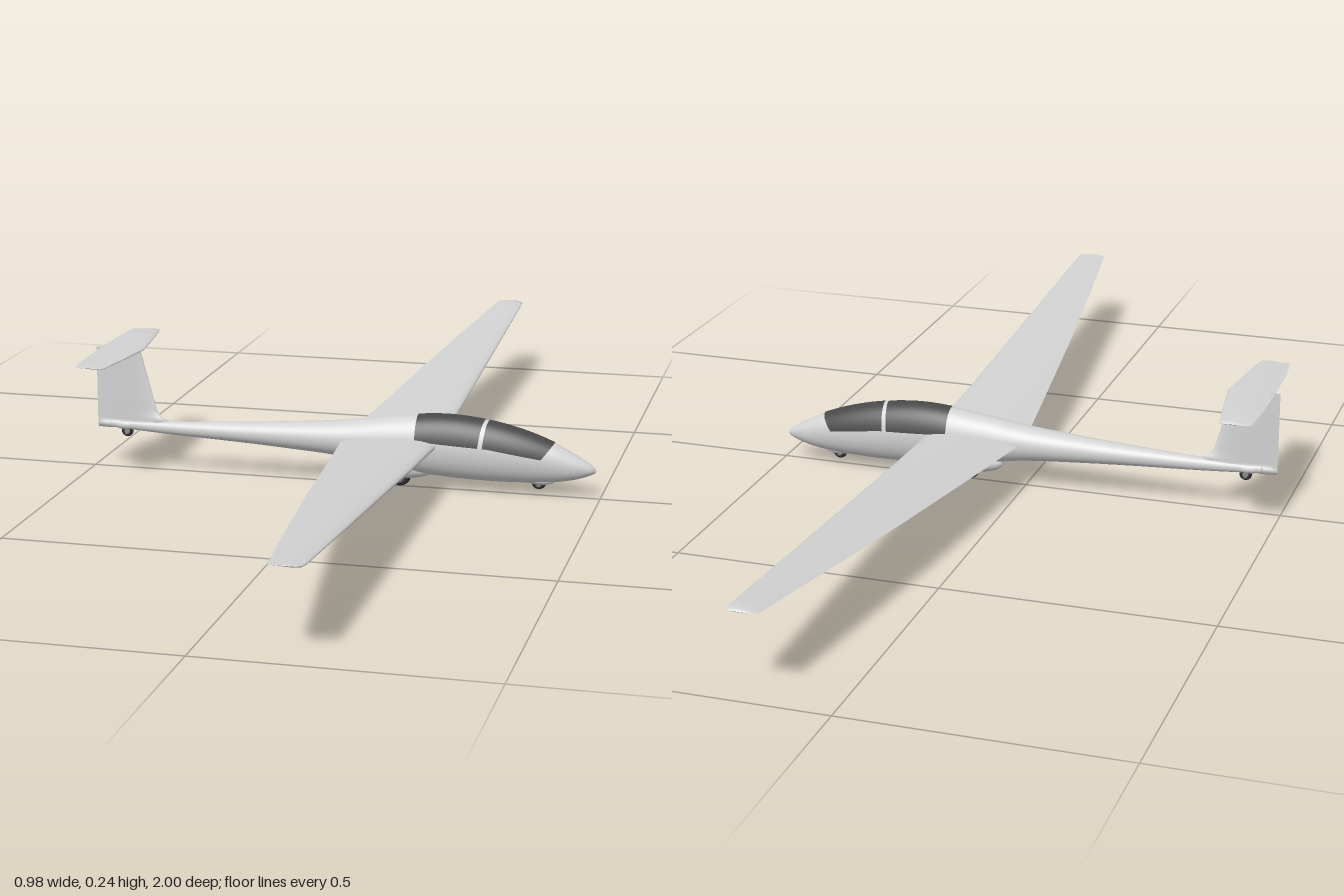
import * as THREE from 'three';
import { ParametricGeometry } from 'three/addons/geometries/ParametricGeometry.js';

// fuselage stations: x, top, bottom, half width
const STATIONS = [
  [-0.46, 0.095, 0.08, 0.006], [-0.35, 0.098, 0.073, 0.012], [-0.2, 0.106, 0.066, 0.021],
  [-0.1, 0.113, 0.06, 0.027], [0, 0.122, 0.052, 0.033], [0.1, 0.136, 0.036, 0.038],
  [0.2, 0.145, 0.025, 0.041], [0.28, 0.139, 0.022, 0.04], [0.35, 0.124, 0.023, 0.036],
  [0.41, 0.103, 0.027, 0.028], [0.45, 0.083, 0.034, 0.02], [0.475, 0.069, 0.042, 0.012],
  [0.486, 0.061, 0.047, 0.0065], [0.49, 0.055, 0.051, 0.002],
];

// smooth interpolation of a station column at x
function station(x, k) {
  const S = STATIONS, n = S.length;
  let i = 0;
  while (i < n - 2 && x > S[i + 1][0]) i++;
  const slope = (j) => {
    const a = S[Math.max(j - 1, 0)], b = S[Math.min(j + 1, n - 1)];
    return (b[k] - a[k]) / (b[0] - a[0]);
  };
  const d = S[i + 1][0] - S[i][0], t = (x - S[i][0]) / d, t2 = t * t, t3 = t2 * t;
  return S[i][k] * (2 * t3 - 3 * t2 + 1) + S[i + 1][k] * (3 * t2 - 2 * t3)
    + d * (slope(i) * (t3 - 2 * t2 + t) + slope(i + 1) * (t3 - t2));
}

const middle = (x) => (station(x, 1) + station(x, 2)) / 2;
const halfHeight = (x) => (station(x, 1) - station(x, 2)) / 2;

// point on the fuselage skin; angle is measured from the top
function skin(x, angle, offset, target) {
  target.set(x, middle(x) + (halfHeight(x) + offset) * Math.cos(angle),
    (station(x, 3) + offset) * Math.sin(angle));
}

// aerofoil surface through sections [span, leading x, trailing x, offset, thickness ratio]
function aerofoil(sections, place) {
  const last = sections.length - 1;
  return new ParametricGeometry((u, v, target) => {
    const f = v * last, i = Math.max(0, Math.min(Math.floor(f), last - 1));
    const [span, lead, trail, rise, ratio] =
      sections[i].map((a, k) => a + (sections[i + 1][k] - a) * (f - i));
    const t = u * Math.PI * 2, c = (1 + Math.cos(t)) / 2;
    const thick = 5 * ratio * (lead - trail) * (0.2969 * Math.sqrt(c) - 0.126 * c
      - 0.3516 * c * c + 0.2843 * c ** 3 - 0.1036 * c ** 4);
    place(target, lead + (trail - lead) * c, span, rise, u < 0.5 ? -thick : thick);
  }, 32, last);
}

// mirror half-span sections (root to tip) into a full span
const fullSpan = (half) => [
  ...half.slice(1).reverse().map(([z, ...rest]) => [-z, ...rest]), ...half,
];
const flat = (p, x, span, rise, o) => p.set(x, rise + o, span);
const upright = (p, x, span, rise, o) => p.set(x, span, -o);

export function createModel() {
  const model = new THREE.Group();
  model.name = 'glider';
  const paint = (name, color) => {
    const m = new THREE.MeshStandardMaterial({ color });
    m.name = name;
    return m;
  };
  const white = paint('bodyWhite', 0xd2d2d2);
  const glass = paint('canopyGlass', 0x484848);
  const rubber = paint('tyreRubber', 0x2e2e2e);
  const metal = paint('hubMetal', 0x8c8c8c);

  const add = (name, geometry, material, x = 0, y = 0, z = 0) => {
    const mesh = new THREE.Mesh(geometry, material);
    mesh.name = name;
    mesh.position.set(x, y, z);
    model.add(mesh);
    return mesh;
  };
  const blob = (name, x, y, rx, ry, rz) =>
    add(name, new THREE.SphereGeometry(1, 28, 18), white, x, y).scale.set(rx, ry, rz);

  // fuselage with rounded ends
  const x0 = STATIONS[0][0], x1 = STATIONS[STATIONS.length - 1][0];
  add('fuselage', new ParametricGeometry((u, v, p) => {
    const x = x0 + (x1 - x0) * Math.sin(v * Math.PI / 2);
    skin(x, u * Math.PI * 2, 0, p);
  }, 48, 90), white);
  blob('noseTip', 0.49, 0.053, 0.0015, 0.002, 0.002);
  blob('tailEnd', -0.46, 0.0875, 0.004, 0.0075, 0.006);

  // canopy panes following the skin, s runs from the crown (0) to the sill (1)
  const sill = (x) => 0.092 + (0.29 - x) * (x > 0.29 ? 0.16 : 0.05);
  const pane = (name, back, front) => add(name, new ParametricGeometry((u, v, p) => {
    const side = u * 2 - 1, s = Math.abs(side);
    const x = back(s) + (front(s) - back(s)) * v;
    const edge = Math.acos((sill(x) - middle(x)) / halfHeight(x));
    skin(x, side * edge, 0.0015, p);
  }, 36, 24), glass);
  pane('rearCanopy', () => 0.15, (s) => 0.28 - 0.009 * s);
  pane('frontCanopy', (s) => 0.287 - 0.007 * s, (s) => 0.412 - 0.022 * s * s);

  // wing with dihedral and tapered trailing edge
  add('wing', aerofoil(fullSpan([
    [0, 0.192, 0.005, 0.088, 0.135], [0.04, 0.191, 0.008, 0.09, 0.135],
    [0.25, 0.189, 0.032, 0.103, 0.13], [0.5, 0.187, 0.06, 0.121, 0.125],
    [0.75, 0.185, 0.092, 0.139, 0.12], [0.97, 0.183, 0.122, 0.155, 0.12],
    [0.992, 0.181, 0.125, 0.157, 0.11], [0.999, 0.174, 0.128, 0.158, 0.05],
    [1, 0.172, 0.13, 0.158, 0],
  ]), flat), white);

  // fin with rudder
  add('fin', aerofoil([
    [0.08, -0.452, -0.49, 0, 0], [0.0801, -0.452, -0.49, 0, 0.2],
    [0.087, -0.44, -0.491, 0, 0.18], [0.09, -0.34, -0.491, 0, 0.08],
    [0.099, -0.346, -0.491, 0, 0.085], [0.105, -0.36, -0.491, 0, 0.09],
    [0.12, -0.37, -0.491, 0, 0.1], [0.235, -0.401, -0.491, 0, 0.12],
    [0.24, -0.402, -0.491, 0, 0.12], [0.2401, -0.402, -0.491, 0, 0],
  ], upright), white);

  // tailplane on top of the fin
  add('tailplane', aerofoil(fullSpan([
    [0, -0.393, -0.481, 0.239, 0.09], [0.09, -0.404, -0.48, 0.239, 0.09],
    [0.165, -0.415, -0.475, 0.239, 0.09], [0.174, -0.418, -0.472, 0.239, 0.07],
    [0.177, -0.422, -0.469, 0.239, 0],
  ]), flat), white);

  // wheel fairings
  blob('mainWheelFairing', 0.115, 0.037, 0.068, 0.021, 0.02);
  blob('noseWheelFairing', 0.385, 0.03, 0.03, 0.01, 0.012);
  blob('tailWheelFairing', -0.433, 0.086, 0.025, 0.009, 0.009);

  // wheels: name, x, y, radius, width
  for (const [name, x, y, r, w] of [
    ['main', 0.115, 0.021, 0.021, 0.014], ['nose', 0.383, 0.025, 0.014, 0.01],
    ['tail', -0.431, 0.075, 0.012, 0.008],
  ]) {
    const tyre = r * 0.32;
    add(name + 'Tyre', new THREE.TorusGeometry(r - tyre, tyre, 12, 28), rubber, x, y)
      .scale.z = w / (2 * tyre);
    add(name + 'Hub', new THREE.CylinderGeometry(r * 0.5, r * 0.5, w * 0.7, 20), metal, x, y)
      .rotation.x = Math.PI / 2;
  }

  model.rotation.y = 0.005;
  const root = new THREE.Group();
  root.name = 'sailplane';
  root.add(model);
  return root;
}
